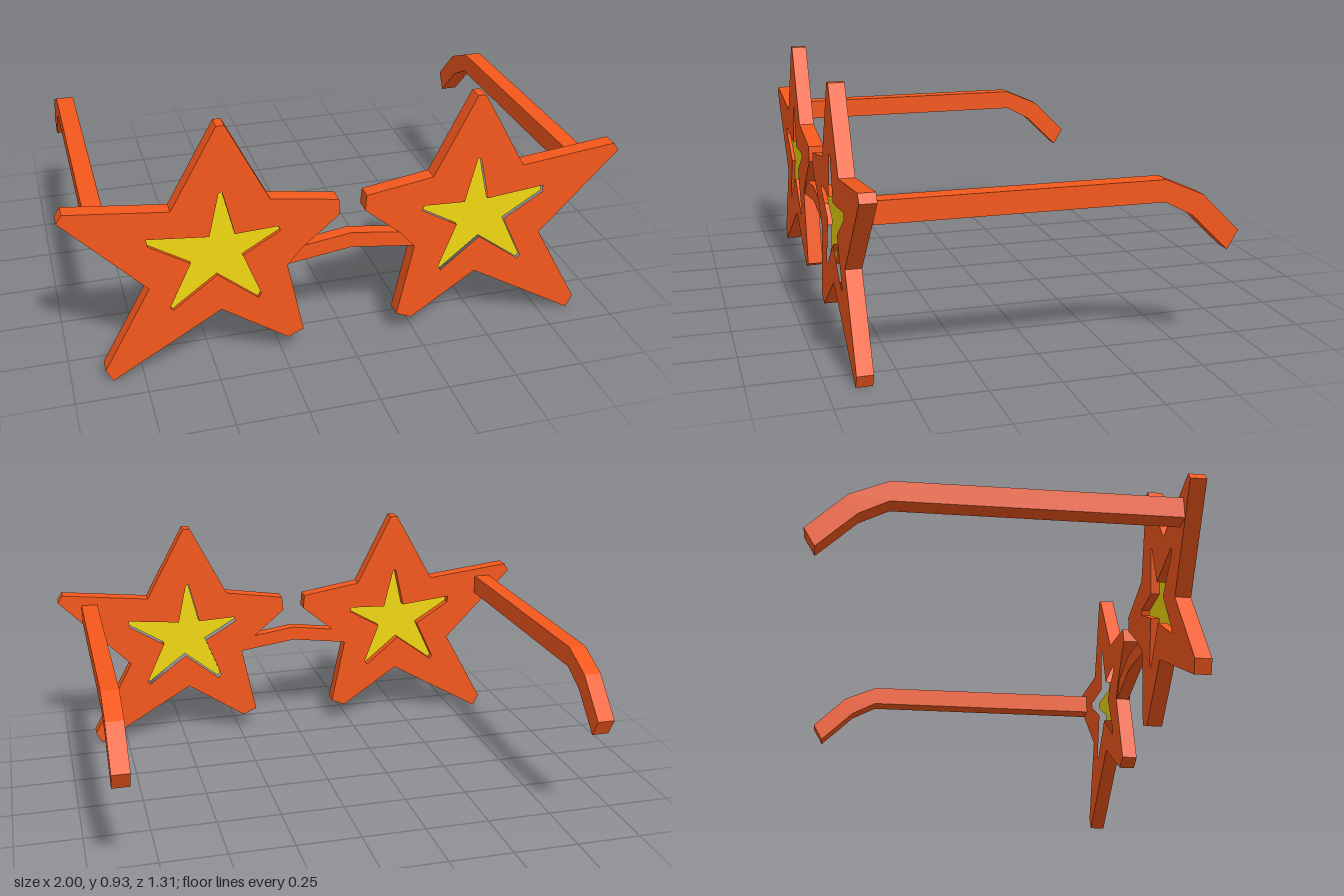
import * as THREE from 'three';

const frameMat = new THREE.MeshStandardMaterial({ color: 0xf4581c });
const lensMat = new THREE.MeshStandardMaterial({ color: 0xf0d810 });

const BACK = 0.6, FRONT = 0.657;

// Outline of one star rim (on +x), clockwise from the top, with blunt tips
const RIM = [
  [0.44, 0.93], [0.468, 0.93], [0.63, 0.64], [0.98, 0.68], [1.0, 0.65], [0.715, 0.355],
  [0.883, 0.05], [0.86, 0.003], [0.47, 0.23], [0.232, 0.07], [0.175, 0.095], [0.233, 0.37],
  [0.176, 0.435], [0.045, 0.545], [0.05, 0.602], [0.292, 0.64],
];

// Outline of the star lens opening
const LENS = [
  [0.455, 0.69], [0.467, 0.685], [0.503, 0.525], [0.715, 0.547], [0.712, 0.52], [0.57, 0.432],
  [0.647, 0.268], [0.638, 0.255], [0.48, 0.372], [0.338, 0.255], [0.328, 0.272], [0.39, 0.435],
  [0.257, 0.512], [0.264, 0.53], [0.415, 0.523],
];

const toPoints = (pts, side = 1) => pts.map(([x, y]) => new THREE.Vector2(x * side, y));

// Extrudes a shape between two depths
function slab(shape, z0, z1) {
  const geo = new THREE.ExtrudeGeometry(shape, { depth: z1 - z0, bevelEnabled: false });
  return geo.translate(0, 0, z0);
}

function part(name, geo, mat) {
  const mesh = new THREE.Mesh(geo, mat);
  mesh.name = name;
  return mesh;
}

export function createModel() {
  const glasses = new THREE.Group();
  glasses.name = 'starGlasses';

  // Temple arm side profile as (z, y), bending down behind the ear
  const arm = new THREE.Shape(toPoints([
    [BACK, 0.632], [-0.383, 0.632], [-0.52, 0.572], [-0.655, 0.438],
    [-0.617, 0.372], [-0.484, 0.502], [-0.383, 0.555], [BACK, 0.555],
  ]));
  const armWidth = 0.065;

  for (const [side, label] of [[1, 'left'], [-1, 'right']]) {
    // Star rim with a star-shaped opening
    const rim = new THREE.Shape(toPoints(RIM, side));
    rim.holes.push(new THREE.Path(toPoints(LENS, side)));
    glasses.add(part(label + 'Rim', slab(rim, BACK, FRONT), frameMat));

    // Thin lens set into the opening, near the front
    const lens = new THREE.Shape(toPoints(LENS, side));
    glasses.add(part(label + 'Lens', slab(lens, 0.632, 0.644), lensMat));

    // Temple arm
    const armGeo = slab(arm, -armWidth / 2, armWidth / 2);
    armGeo.rotateY(-Math.PI / 2).translate(side * 0.873, 0, 0);
    glasses.add(part(label + 'Temple', armGeo, frameMat));
  }

  // Arched nose bridge joining the rims
  const bridge = new THREE.Shape(toPoints([
    [-0.233, 0.37], [0, 0.402], [0.233, 0.37], [0.176, 0.435], [0, 0.46], [-0.176, 0.435],
  ]));
  glasses.add(part('bridge', slab(bridge, 0.604, 0.651), frameMat));

  return glasses;
}
